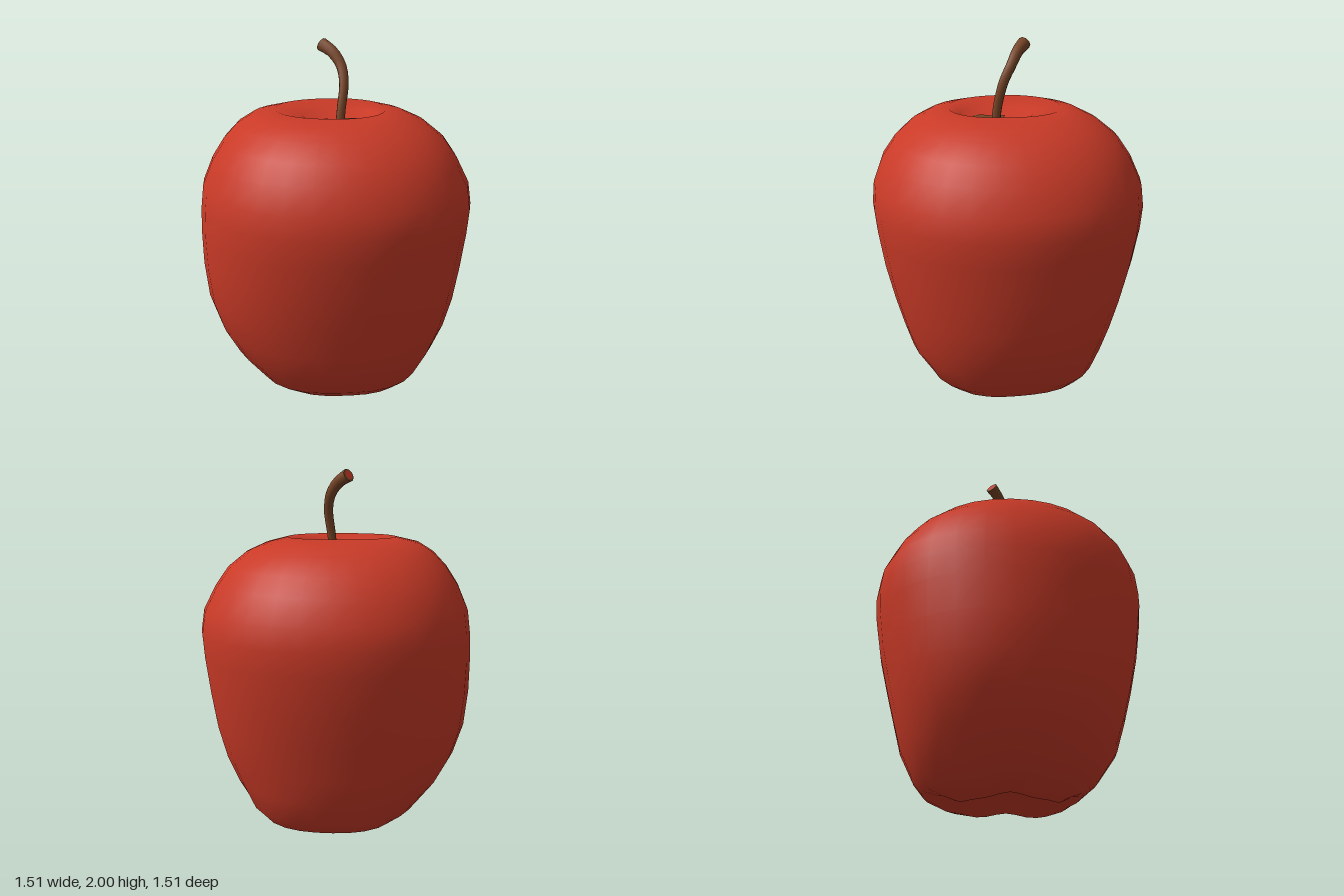
import * as THREE from 'three';

const red = new THREE.MeshStandardMaterial({ color: 0xc93a27 });
red.name = 'appleRed';
const brown = new THREE.MeshStandardMaterial({ color: 0x774527 });
brown.name = 'stemBrown';

// Rings from the underside to the dimple: height, then reach toward +x, +z, -x, -z
const RINGS = [
  [0.08, 0.10, 0.10, 0.10, 0.10],
  [0.04, 0.19, 0.19, 0.19, 0.19],
  [0.005, 0.28, 0.27, 0.24, 0.26],
  [0.03, 0.36, 0.33, 0.27, 0.37],
  [0.07, 0.42, 0.39, 0.34, 0.45],
  [0.14, 0.485, 0.475, 0.45, 0.505],
  [0.28, 0.58, 0.575, 0.595, 0.575],
  [0.43, 0.645, 0.62, 0.68, 0.615],
  [0.6, 0.69, 0.665, 0.735, 0.66],
  [0.8, 0.72, 0.71, 0.755, 0.71],
  [1.0, 0.745, 0.74, 0.757, 0.745],
  [1.13, 0.755, 0.752, 0.75, 0.755],
  [1.25, 0.737, 0.74, 0.735, 0.74],
  [1.38, 0.67, 0.69, 0.68, 0.68],
  [1.48, 0.60, 0.62, 0.615, 0.61],
  [1.56, 0.50, 0.53, 0.54, 0.51],
  [1.61, 0.39, 0.43, 0.46, 0.41],
  [1.64, 0.27, 0.32, 0.33, 0.30],
  [1.61, 0.20, 0.20, 0.20, 0.20],
  [1.575, 0.15, 0.15, 0.15, 0.15],
];
const SIDES = 32;
const DIMPLE = [0.02, 0.06];

function bodyGeometry() {
  const pos = [0, 0.09, 0];
  const index = [];
  RINGS.forEach(([y, px, pz, nx, nz], i) => {
    const inDimple = i >= RINGS.length - 2;
    for (let j = 0; j < SIDES; j++) {
      const a = (j / SIDES) * Math.PI * 2;
      const c = Math.cos(a), s = Math.sin(a);
      // blend the four reaches, fuller on the diagonals, with lobes underneath
      const diagonal = Math.sin(2 * a) ** 2;
      const boost = i < 2 || inDimple ? 0 : i < 6 ? 0.09 : 0.03;
      const r = (c * c * (c > 0 ? px : nx) + s * s * (s > 0 ? pz : nz)) * (1 + boost * diagonal);
      const notch = i > 0 && i < 4 ? 0.03 * (1 - diagonal) ** 2 : 0;
      pos.push(r * c + (inDimple ? DIMPLE[0] : 0), y + notch, r * s + (inDimple ? DIMPLE[1] : 0));
    }
  });
  const last = pos.length / 3;
  pos.push(DIMPLE[0], 1.57, DIMPLE[1]);
  for (let j = 0; j < SIDES; j++) {
    const k = (j + 1) % SIDES;
    index.push(0, 1 + j, 1 + k);
    for (let i = 0; i < RINGS.length - 1; i++) {
      const a = 1 + i * SIDES, b = a + SIDES;
      index.push(a + j, b + j, a + k, b + j, b + k, a + k);
    }
    const top = 1 + (RINGS.length - 1) * SIDES;
    index.push(top + j, last, top + k);
  }
  const g = new THREE.BufferGeometry();
  g.setAttribute('position', new THREE.Float32BufferAttribute(pos, 3));
  g.setIndex(index);
  g.computeVertexNormals();
  return g;
}

// Bent stem, flaring toward its tip
function stemGeometry(path, radius) {
  const steps = 14, around = 10;
  const g = new THREE.TubeGeometry(path, steps, 1, around, false);
  const p = g.attributes.position;
  const v = new THREE.Vector3();
  for (let i = 0; i < p.count; i++) {
    const t = Math.floor(i / (around + 1)) / steps;
    const centre = path.getPointAt(t);
    v.fromBufferAttribute(p, i).sub(centre).multiplyScalar(radius(t)).add(centre);
    p.setXYZ(i, v.x, v.y, v.z);
  }
  return g;
}

export function createModel() {
  const apple = new THREE.Group();
  apple.name = 'apple';
  const add = (name, geometry, material) => {
    const m = new THREE.Mesh(geometry, material);
    m.name = name;
    apple.add(m);
    return m;
  };

  add('body', bodyGeometry(), red);

  // Brown patch on the dimple floor, outlined as x, z
  const outline = [[-0.06, 0], [0.0, 0.02], [0.06, -0.01], [0.12, 0.0], [0.125, 0.07],
    [0.07, 0.12], [0.03, 0.16], [-0.03, 0.185], [-0.09, 0.17], [-0.09, 0.12], [-0.05, 0.07]];
  const shape = new THREE.Shape(outline.map(([x, z]) => new THREE.Vector2(x, -z)));
  const patch = add('dimplePatch', new THREE.ShapeGeometry(shape), brown);
  patch.rotation.x = -Math.PI / 2;
  patch.position.y = 1.58;

  const path = new THREE.CatmullRomCurve3([
    [0.02, 1.55, 0.065], [0.03, 1.65, 0.055], [0.045, 1.78, 0.025],
    [0.03, 1.87, -0.02], [-0.015, 1.935, -0.06], [-0.07, 1.97, -0.105],
  ].map(p => new THREE.Vector3(...p)));
  const radius = t => 0.024 + 0.004 * t + 0.009 * t ** 4;
  add('stem', stemGeometry(path, radius), brown);

  // Cut end of the stem with its red core
  const tip = path.getPointAt(1), dir = path.getTangentAt(1);
  const cap = (name, r, lift, material) => {
    const m = add(name, new THREE.CircleGeometry(r, 10), material);
    m.position.copy(tip).addScaledVector(dir, lift);
    m.quaternion.setFromUnitVectors(new THREE.Vector3(0, 0, 1), dir);
  };
  cap('stemEnd', radius(1), 0, brown);
  cap('stemCore', 0.026, 0.003, red);

  return apple;
}
